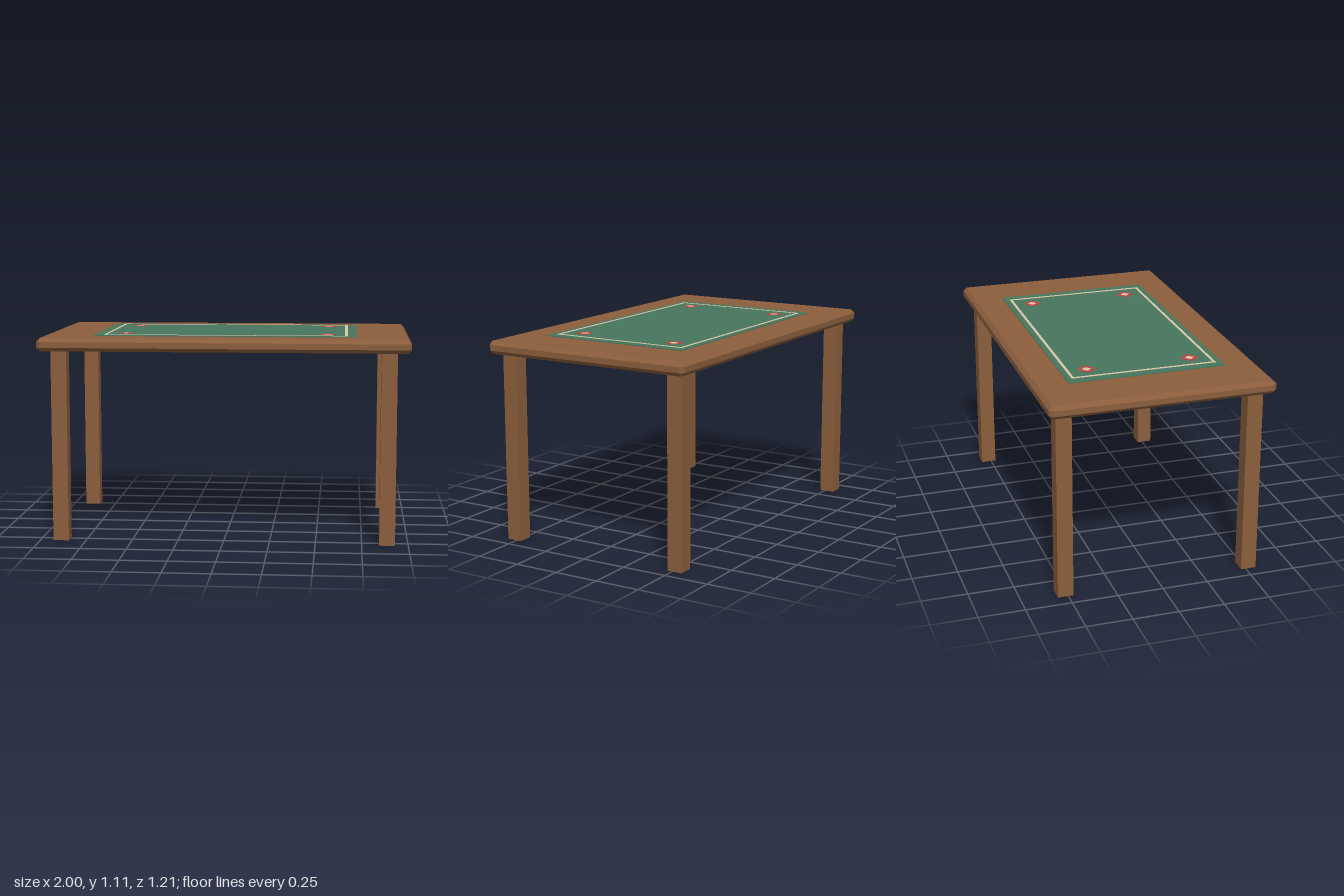
import * as THREE from 'three';
import { ConvexGeometry } from 'three/addons/geometries/ConvexGeometry.js';

const material = (name, color) => {
  const m = new THREE.MeshStandardMaterial({ color });
  m.name = name;
  return m;
};

// Box with every edge and corner cut at 45 degrees
function chamferedBox(w, h, d, c) {
  const points = [];
  for (const sx of [-1, 1]) for (const sy of [-1, 1]) for (const sz of [-1, 1]) {
    const x = w / 2, y = h / 2, z = d / 2;
    for (const p of [[x, y - c, z - c], [x - c, y, z - c], [x - c, y - c, z]])
      points.push(new THREE.Vector3(p[0] * sx, p[1] * sy, p[2] * sz));
  }
  return new ConvexGeometry(points);
}

const rectangle = (x, z) => [[-x, -z], [x, -z], [x, z], [-x, z]].map(p => new THREE.Vector2(...p));
const diamond = r => [[0, -r], [r, 0], [0, r], [-r, 0]].map(p => new THREE.Vector2(...p));

// Thin horizontal plate from an outline, with an optional hole
function plate(outline, hole, depth) {
  const shape = new THREE.Shape(outline);
  if (hole) shape.holes.push(new THREE.Path(hole));
  return new THREE.ExtrudeGeometry(shape, { depth, bevelEnabled: false }).rotateX(-Math.PI / 2);
}

export function createModel() {
  const group = new THREE.Group();
  const wood = material('brown wood', 0x8b5e3c);
  const felt = material('green felt', 0x47765d);
  const cream = material('cream', 0xd8c8a8);
  const red = material('red', 0xbc4444);

  const add = (name, geometry, mat, x, y, z) => {
    const mesh = new THREE.Mesh(geometry, mat);
    mesh.name = name;
    mesh.position.set(x, y, z);
    group.add(mesh);
  };

  // Table top
  add('tableTop', chamferedBox(2, 0.071, 1.212, 0.02), wood, 0, 1.0735, 0);

  // Playing mat and its border line
  add('mat', new THREE.BoxGeometry(1.43, 0.004, 0.854), felt, 0, 1.111, 0);
  add('matBorder', plate(rectangle(0.663, 0.396), rectangle(0.648, 0.381), 0.0015), cream, 0, 1.113, 0);

  // Legs and corner diamonds
  const leg = new THREE.BoxGeometry(0.085, 1.045, 0.085);
  const ring = plate(diamond(0.052), diamond(0.026), 0.0015);
  const centre = plate(diamond(0.026), null, 0.0015);
  for (const sx of [-1, 1]) for (const sz of [-1, 1]) {
    const place = (sz > 0 ? 'front' : 'back') + (sx > 0 ? 'Left' : 'Right');
    add(place + 'Leg', leg, wood, sx * 0.886, 0.5225, sz * 0.515);
    add(place + 'Diamond', ring, red, sx * 0.557, 1.113, sz * 0.285);
    add(place + 'DiamondCentre', centre, cream, sx * 0.557, 1.113, sz * 0.285);
  }
  return group;
}
